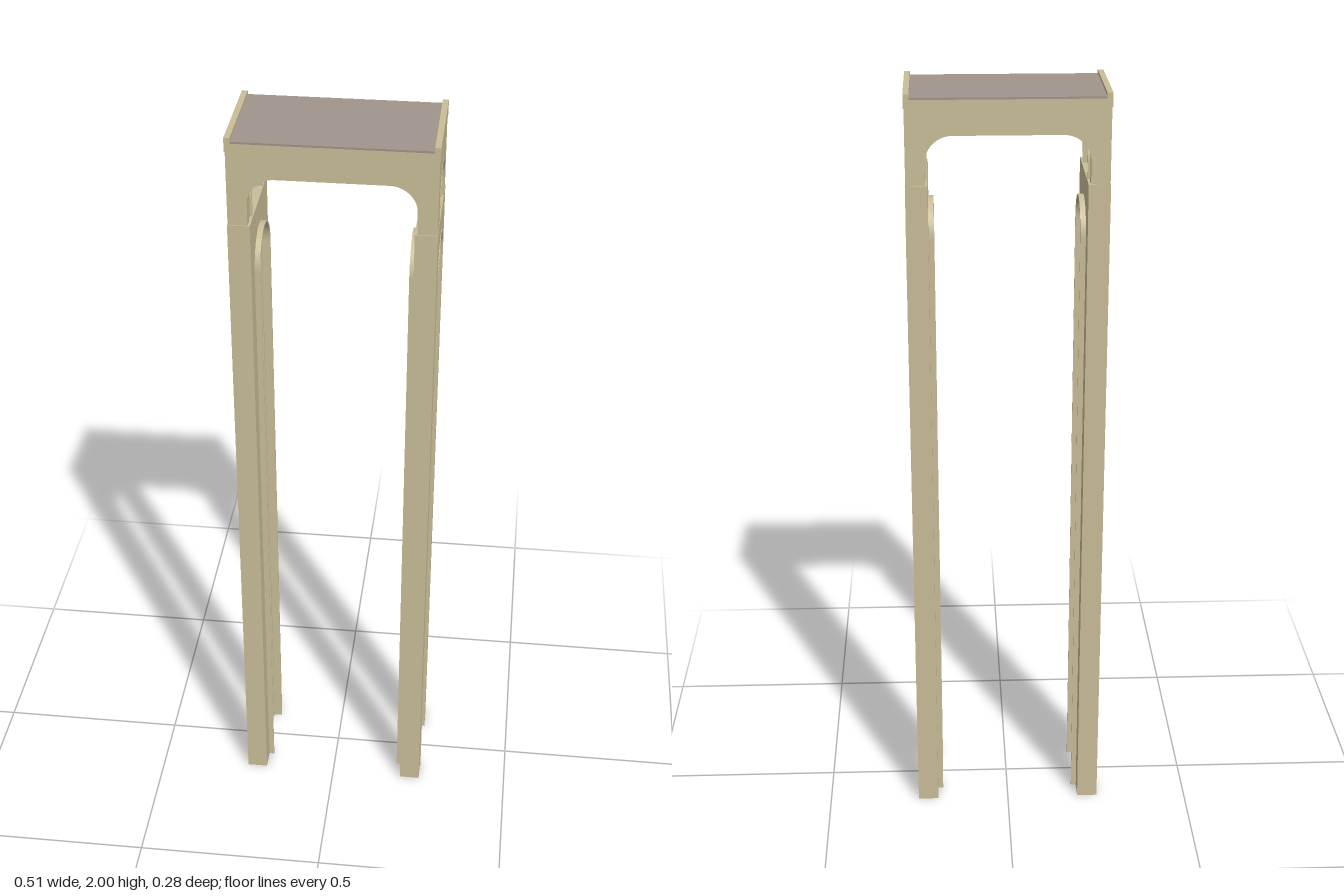
import * as THREE from 'three';

const stone = new THREE.MeshStandardMaterial({ color: 0xc9bd98 });
stone.name = 'sandstone';
const paving = new THREE.MeshStandardMaterial({ color: 0xa0958b });
paving.name = 'grey paving';

// Round-headed opening, traced from the left foot to the right foot
function traceArch(shape, radius, spring, base) {
  shape.lineTo(-radius, base);
  shape.lineTo(-radius, spring);
  shape.absarc(0, spring, radius, Math.PI, 0, true);
  shape.lineTo(radius, base);
}

// Rectangular wall with an arch cut up from its foot
function wallShape(half, base, top, radius, spring) {
  const s = new THREE.Shape();
  s.moveTo(-half, base);
  traceArch(s, radius, spring, base);
  s.lineTo(half, base);
  s.lineTo(half, top);
  s.lineTo(-half, top);
  return s;
}

// Arched band between two concentric radii
function bandShape(inner, outer, spring, base) {
  const s = new THREE.Shape();
  s.moveTo(-outer, base);
  traceArch(s, inner, spring, base);
  s.lineTo(outer, base);
  s.lineTo(outer, spring);
  s.absarc(0, spring, outer, 0, Math.PI, false);
  return s;
}

function add(group, name, geometry, material = stone) {
  const mesh = new THREE.Mesh(geometry, material);
  mesh.name = name;
  group.add(mesh);
  return mesh;
}

// Extrude a z-y profile across x from x0 to x1
function acrossX(shape, x0, x1) {
  const g = new THREE.ExtrudeGeometry(shape, { depth: x1 - x0, bevelEnabled: false, curveSegments: 20 });
  return g.rotateY(Math.PI / 2).translate(x0, 0, 0);
}

function box(w, h, d, x, y, z) {
  return new THREE.BoxGeometry(w, h, d).translate(x, y, z);
}

function buildSide(name, sign) {
  const side = new THREE.Group();
  side.name = name;
  // Mirror each span in x so the group needs no negative scale
  const span = (shape, a, b) => (sign > 0 ? acrossX(shape, a, b) : acrossX(shape, -b, -a));

  // Tall pier wall with stepped arch lining
  add(side, 'pierWall', span(wallShape(0.14, 0, 1.775, 0.086, 1.625), 0.197, 0.252));
  add(side, 'pierArchFrame', span(bandShape(0.082, 0.087, 1.625, 0), 0.183, 0.2535));
  add(side, 'pierArchRib', span(bandShape(0.075, 0.085, 1.625, 0), 0.205, 0.228));

  // Upper wall with window arch
  add(side, 'upperWall', span(wallShape(0.136, 1.775, 1.985, 0.083, 1.818), 0.205, 0.251));
  add(side, 'windowFrame', span(bandShape(0.081, 0.086, 1.818, 1.775), 0.199, 0.252));
  add(side, 'windowRib', span(bandShape(0.076, 0.084, 1.818, 1.775), 0.212, 0.232));

  // Parapet kerb and the slightly wider course beneath it
  add(side, 'kerb', box(0.0145, 0.035, 0.28, sign * 0.2455, 1.9825, 0));
  return side;
}

// Spandrel wall spanning the passage, with rounded upper corners
function spandrelShape() {
  const w = 0.251, j = 0.203, r = 0.068, soffit = 1.898, base = 1.775;
  const s = new THREE.Shape();
  s.moveTo(-w, base);
  s.lineTo(-j, base);
  s.lineTo(-j, soffit - r);
  s.absarc(-j + r, soffit - r, r, Math.PI, Math.PI / 2, true);
  s.lineTo(j - r, soffit);
  s.absarc(j - r, soffit - r, r, Math.PI / 2, 0, true);
  s.lineTo(j, base);
  s.lineTo(w, base);
  s.lineTo(w, 1.965);
  s.lineTo(-w, 1.965);
  return s;
}

export function createModel() {
  const model = new THREE.Group();
  model.name = 'archedBridgePier';

  model.add(buildSide('leftSide', 1), buildSide('rightSide', -1));

  // Front and back spandrels
  for (const [name, z] of [['frontSpandrel', 0.109], ['backSpandrel', -0.137]]) {
    const g = new THREE.ExtrudeGeometry(spandrelShape(), { depth: 0.028, bevelEnabled: false, curveSegments: 12 });
    add(model, name, g.translate(0, 0, z));
  }

  // Deck slab and its paved surface
  add(model, 'deckSlab', box(0.48, 0.048, 0.278, 0, 1.963, 0));
  add(model, 'deckPaving', box(0.477, 0.005, 0.279, 0, 1.9885, 0), paving);
  return model;
}
